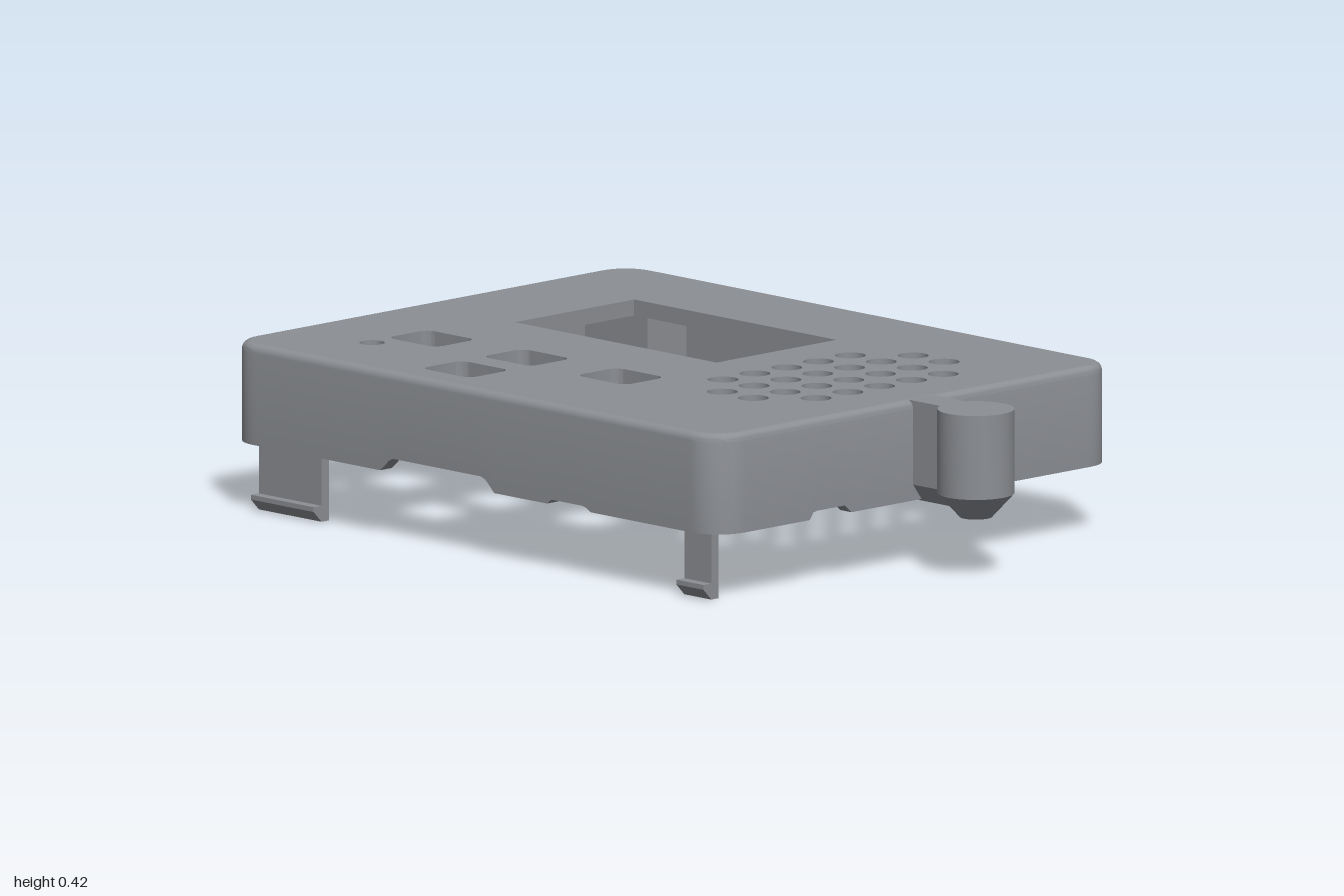
import * as THREE from 'three';
import { toCreasedNormals } from 'three/addons/utils/BufferGeometryUtils.js';

// Outer limits of the case
const X0 = -1, X1 = 0.725, Z0 = -0.69, Z1 = 0.68;
const RIM = 0.17, TOP = 0.42, LID = 0.38, WALL = 0.04, FILLET = 0.02, CORNER = 0.09;

export function createModel() {
  const group = new THREE.Group();
  const grey = new THREE.MeshStandardMaterial({ color: 0x8c8f94 });
  grey.name = 'case grey';

  const add = (name, geometry) => {
    const mesh = new THREE.Mesh(toCreasedNormals(geometry, 0.5), grey);
    mesh.name = name;
    group.add(mesh);
    return mesh;
  };

  // Rounded rectangle in plan (shape y is -z)
  const roundRect = (T, x0, x1, z0, z1, r) => {
    const p = new T();
    const a = -z1, b = -z0;
    p.moveTo(x0 + r, a);
    p.lineTo(x1 - r, a);
    p.absarc(x1 - r, a + r, r, -Math.PI / 2, 0);
    p.lineTo(x1, b - r);
    p.absarc(x1 - r, b - r, r, 0, Math.PI / 2);
    p.lineTo(x0 + r, b);
    p.absarc(x0 + r, b - r, r, Math.PI / 2, Math.PI);
    p.lineTo(x0, a + r);
    p.absarc(x0 + r, a + r, r, Math.PI, Math.PI * 1.5);
    return p;
  };
  const slab = (shape, y0, y1) => new THREE.ExtrudeGeometry(shape,
    { depth: y1 - y0, bevelEnabled: false, curveSegments: 12 }).rotateX(-Math.PI / 2).translate(0, y0, 0);
  const block = (name, x0, x1, y0, y1, z0, z1) => add(name, new THREE.BoxGeometry(x1 - x0, y1 - y0, z1 - z0)
    .translate((x0 + x1) / 2, (y0 + y1) / 2, (z0 + z1) / 2));
  const turned = (name, x, z, profile) => add(name, new THREE.LatheGeometry(
    profile.map(([r, y]) => new THREE.Vector2(r, y)), 32).translate(x, 0, z));

  // Lid with screen, button, indicator and speaker openings
  const lid = roundRect(THREE.Shape, X0 + FILLET, X1 - FILLET, Z0 + FILLET, Z1 - FILLET, CORNER - FILLET);
  const circleHole = (x, z, r) => {
    const p = new THREE.Path();
    p.absarc(x, -z, r, 0, Math.PI * 2, true);
    lid.holes.push(p);
  };
  const screen = new THREE.Path();
  screen.setFromPoints([[-0.665, -0.02], [0.045, -0.02], [0.045, 0.39], [-0.665, 0.39]]
    .map(([x, y]) => new THREE.Vector2(x, y)));
  lid.holes.push(screen);
  for (const [x, z] of [[-0.66, 0.31], [-0.325, 0.31], [0.005, 0.31], [-0.325, 0.52]]) {
    lid.holes.push(roundRect(THREE.Path, x - 0.086, x + 0.086, z - 0.07, z + 0.07, 0.028));
  }
  circleHole(-0.725, 0.45, 0.031);
  for (let col = 0; col < 4; col++) {
    for (let row = 0; row < 7; row++) {
      const outerCol = col === 0 || col === 3;
      if (outerCol && (row === 0 || row === 6)) continue;
      circleHole(0.209 + col * 0.109, -0.387 + row * 0.109, 0.038);
    }
  }
  add('lid', slab(lid, LID, TOP));

  // Cable notches along the lower rim: flat-topped arcs on the front and right walls
  const arch = (t, mid, half, height) => {
    const u = Math.abs(t - mid) / half;
    return u < 1 ? Math.min(height, height * 1.8 * Math.sqrt(1 - u * u)) : 0;
  };
  const rimHeight = (x, z, nx, nz) => {
    if (nz > 0.999) return RIM + arch(x, -0.26, 0.19, 0.035) + arch(x, 0.2, 0.07, 0.012);
    if (nx > 0.999) return RIM + arch(z, 0.295, 0.065, 0.02);
    return RIM;
  };

  // Walls: one cross-section swept round the rounded outline
  const outline = [];
  const cx = [X1 - CORNER, X0 + CORNER, X0 + CORNER, X1 - CORNER];
  const cz = [Z1 - CORNER, Z1 - CORNER, Z0 + CORNER, Z0 + CORNER];
  for (let c = 0; c < 4; c++) {
    for (let i = 0; i <= 8; i++) {
      const a = (c + i / 8) * Math.PI / 2;
      outline.push([cx[c], cz[c], Math.cos(a), Math.sin(a)]);
    }
    const n = (c + 1) % 4, a = n * Math.PI / 2;
    for (let i = 1; i < 100; i++) {
      const t = i / 100;
      outline.push([cx[c] + (cx[n] - cx[c]) * t, cz[c] + (cz[n] - cz[c]) * t, Math.cos(a), Math.sin(a)]);
    }
  }
  const positions = [], index = [];
  const count = 8;
  outline.forEach(([x, z, nx, nz], i) => {
    const low = rimHeight(x, z, nx, nz);
    const section = [[WALL, LID], [WALL, low], [0, low]];
    for (let k = 0; k < 5; k++) {
      const a = k / 4 * Math.PI / 2;
      section.push([FILLET * (1 - Math.cos(a)), TOP - FILLET + FILLET * Math.sin(a)]);
    }
    for (const [inset, y] of section) positions.push(x + nx * (CORNER - inset), y, z + nz * (CORNER - inset));
    const a = i * count, d = ((i + 1) % outline.length) * count;
    for (let j = 0; j < count - 1; j++) {
      index.push(a + j, a + j + 1, d + j + 1, a + j, d + j + 1, d + j);
    }
  });
  const walls = new THREE.BufferGeometry();
  walls.setAttribute('position', new THREE.Float32BufferAttribute(positions, 3));
  walls.setIndex(index);
  add('walls', walls);

  // Side knob with a tapered foot, and the arm that carries it
  turned('knob', 0.905, -0.03, [[0, 0.15], [0.04, 0.15], [0.095, 0.21], [0.095, TOP], [0, TOP]]);
  const arm = new THREE.Shape([[-0.043, TOP], [-0.043, 0.21], [-0.01, 0.165], [0.01, 0.165], [0.043, 0.21], [0.043, TOP]]
    .map(([z, y]) => new THREE.Vector2(z, y)));
  add('knobArm', new THREE.ExtrudeGeometry(arm, { depth: 0.13, bevelEnabled: false })
    .rotateY(Math.PI / 2).translate(0.71, 0, -0.033));

  // Snap clips at the back: thin tongue with an outward hook
  const clip = new THREE.Shape([[0.613, LID], [0.613, 0], [0.638, 0], [0.665, 0.028], [0.665, 0.04], [0.638, 0.04], [0.638, LID]]
    .map(([z, y]) => new THREE.Vector2(z, y)));
  for (const [name, x0, x1] of [['wideClip', -0.93, -0.71], ['narrowClip', 0.565, 0.66]]) {
    add(name, new THREE.ExtrudeGeometry(clip, { depth: x1 - x0, bevelEnabled: false })
      .rotateY(Math.PI / 2).translate(x0, 0, 0));
    // Mirror the extrusion so that the hook points to the back
    const mesh = group.children[group.children.length - 1];
    mesh.rotation.y = Math.PI;
    mesh.position.x = x0 + x1;
  }
  block('clipBlock', -0.93, -0.71, 0.22, LID, -0.613, -0.48);

  // Speaker ring inside, open beside the screen and the side wall
  for (const side of [-1, 1]) {
    const from = 0.69, to = Math.PI - 0.69;
    const ring = new THREE.Shape();
    ring.absarc(0.37, 0.06, 0.41, side * from, side * to, side < 0);
    ring.absarc(0.37, 0.06, 0.38, side * to, side * from, side > 0);
    add('speakerRing', slab(ring, 0.23, LID));
  }

  // Screw bosses, support peg and indicator block inside
  for (const [x, z, r] of [[0.49, 0.53, 0.095], [-0.885, 0.575, 0.075]]) {
    turned('screwBoss', x, z, [[0, 0.3], [r * 0.45, 0.3], [r * 0.45, 0.2], [r, 0.2], [r, LID]]);
  }
  turned('supportPeg', -0.74, -0.12, [[0, 0.19], [0.04, 0.19], [0.04, LID]]);
  block('indicatorBlock', -0.81, -0.71, 0.2, LID, 0.5, 0.61);

  return group;
}
